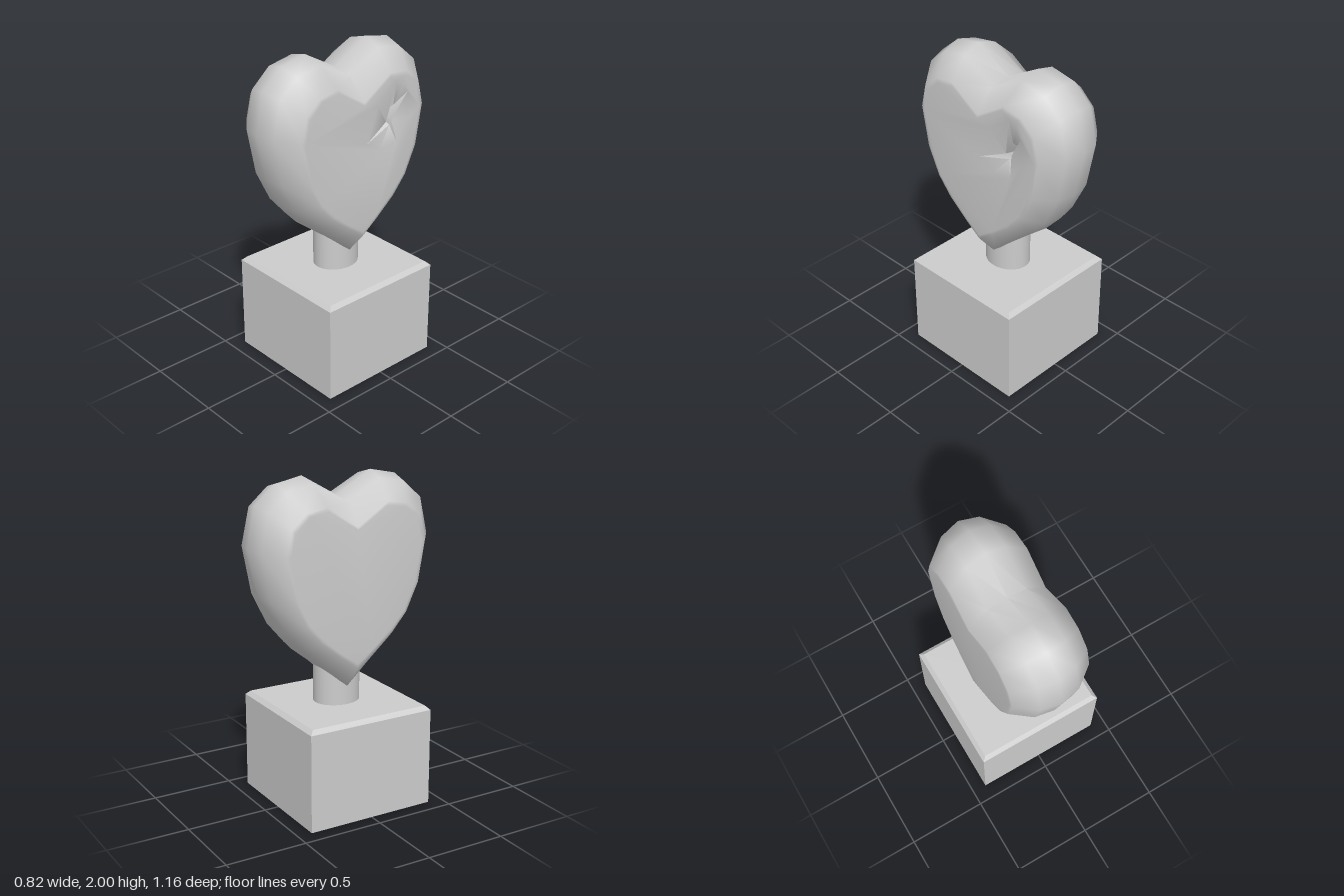
import * as THREE from 'three';
import { toCreasedNormals } from 'three/addons/utils/BufferGeometryUtils.js';

// Half outlines of the heart as [across, height], from top notch to bottom tip
const RIM = [[0, 1.87], [0.23, 2], [0.4, 1.965], [0.53, 1.855], [0.58, 1.615],
  [0.52, 1.32], [0.425, 1.12], [0.31, 0.99], [0.14, 0.855], [0, 0.735]];
const SHOULDER = [[0, 1.85], [0.22, 1.965], [0.385, 1.935], [0.505, 1.83], [0.555, 1.61],
  [0.5, 1.325], [0.405, 1.13], [0.295, 1], [0.135, 0.86], [0, 0.735]];
const FACE = [[0, 1.72], [0.2, 1.85], [0.33, 1.83], [0.425, 1.745], [0.46, 1.6],
  [0.415, 1.35], [0.335, 1.18], [0.24, 1.07], [0.11, 0.965], [0, 0.885]];
const INNER = FACE.map(([u, y]) => [u * 0.95, 1.38 + (y - 1.38) * 0.95]);

// Dent on one face: star tips, the inward corners and the outer corners between them
const TIPS = [[0.245, 1.79], [0.335, 1.705], [0.255, 1.415], [0.02, 1.465]];
const NOTCHES = [[0.25, 1.635], [0.237, 1.545], [0.222, 1.52], [0.195, 1.545]];
const OUTER = [[0.3, 1.76], [0.34, 1.54], [0.12, 1.4], [0.1, 1.68]];
const DENT_CENTRE = [0.226, 1.545];

// Mirrors a half outline into a closed counter-clockwise loop
function closeLoop(half) {
  const mirrored = half.slice(1, -1).reverse().map(([u, y]) => [-u, y]);
  return [...half, ...mirrored].reverse();
}

function heartGeometry() {
  const positions = [];
  const at = ([u, y], x) => [x, y, -u];
  const tri = (...corners) => corners.forEach((p) => positions.push(...p));

  // Rounded rim, skinned across the thickness
  const rings = [[INNER, -0.245], [FACE, -0.242], [SHOULDER, -0.12], [RIM, 0],
    [SHOULDER, 0.12], [FACE, 0.242], [INNER, 0.245]]
    .map(([half, x]) => closeLoop(half).map((p) => at(p, x)));
  for (let r = 0; r < rings.length - 1; r++) {
    const a = rings[r], b = rings[r + 1];
    for (let i = 0; i < a.length; i++) {
      const j = (i + 1) % a.length;
      tri(a[i], a[j], b[j]);
      tri(a[i], b[j], b[i]);
    }
  }

  // Flat faces; the +x one leaves a hole for the dent
  const toVectors = (pts) => pts.map(([u, y]) => new THREE.Vector2(u, y));
  const hole = TIPS.flatMap((tip, i) => [tip, OUTER[i]]).reverse();
  for (const side of [1, -1]) {
    const contour = closeLoop(INNER);
    const holes = side > 0 ? [hole] : [];
    const points = [...contour, ...holes.flat()];
    for (const f of THREE.ShapeUtils.triangulateShape(toVectors(contour), holes.map(toVectors))) {
      const [a, b, c] = f.map((i) => at(points[i], side * 0.245));
      if (side > 0) tri(a, b, c);
      else tri(a, c, b);
    }
  }

  // Star-shaped dent sinking into the +x face
  const centre = at(DENT_CENTRE, 0.12);
  TIPS.forEach((p, i) => {
    const tip = at(p, 0.245), next = at(TIPS[(i + 1) % TIPS.length], 0.245);
    const outer = at(OUTER[i], 0.245), notch = at(NOTCHES[i], 0.215);
    tri(tip, notch, outer);
    tri(notch, next, outer);
    tri(tip, centre, notch);
    tri(notch, centre, next);
  });

  const geometry = new THREE.BufferGeometry();
  geometry.setAttribute('position', new THREE.Float32BufferAttribute(positions, 3));
  return toCreasedNormals(geometry, 1.1);
}

// Square block that can taper, made from a four-sided cylinder
function block(topHalf, bottomHalf, height, openEnded) {
  const geometry = new THREE.CylinderGeometry(topHalf * Math.SQRT2, bottomHalf * Math.SQRT2, height, 4, 1, openEnded);
  geometry.rotateY(Math.PI / 4);
  return toCreasedNormals(geometry, 0.2);
}

export function createModel() {
  const group = new THREE.Group();
  group.name = 'heartSculpture';
  const stone = new THREE.MeshStandardMaterial({ color: 0xcccccc });
  stone.name = 'light grey';

  const add = (name, geometry, y) => {
    const mesh = new THREE.Mesh(geometry, stone);
    mesh.name = name;
    mesh.position.y = y;
    group.add(mesh);
    return mesh;
  };

  // Plinth with a bevelled top edge
  add('plinth', block(0.41, 0.41, 0.6, false), 0.3);
  add('plinthBevel', block(0.385, 0.41, 0.025, false), 0.6125);

  // Slightly oval post
  const post = add('post', new THREE.CylinderGeometry(1, 1, 0.28, 32), 0.74);
  post.scale.set(0.125, 1, 0.145);

  add('heart', heartGeometry(), 0);
  return group;
}
